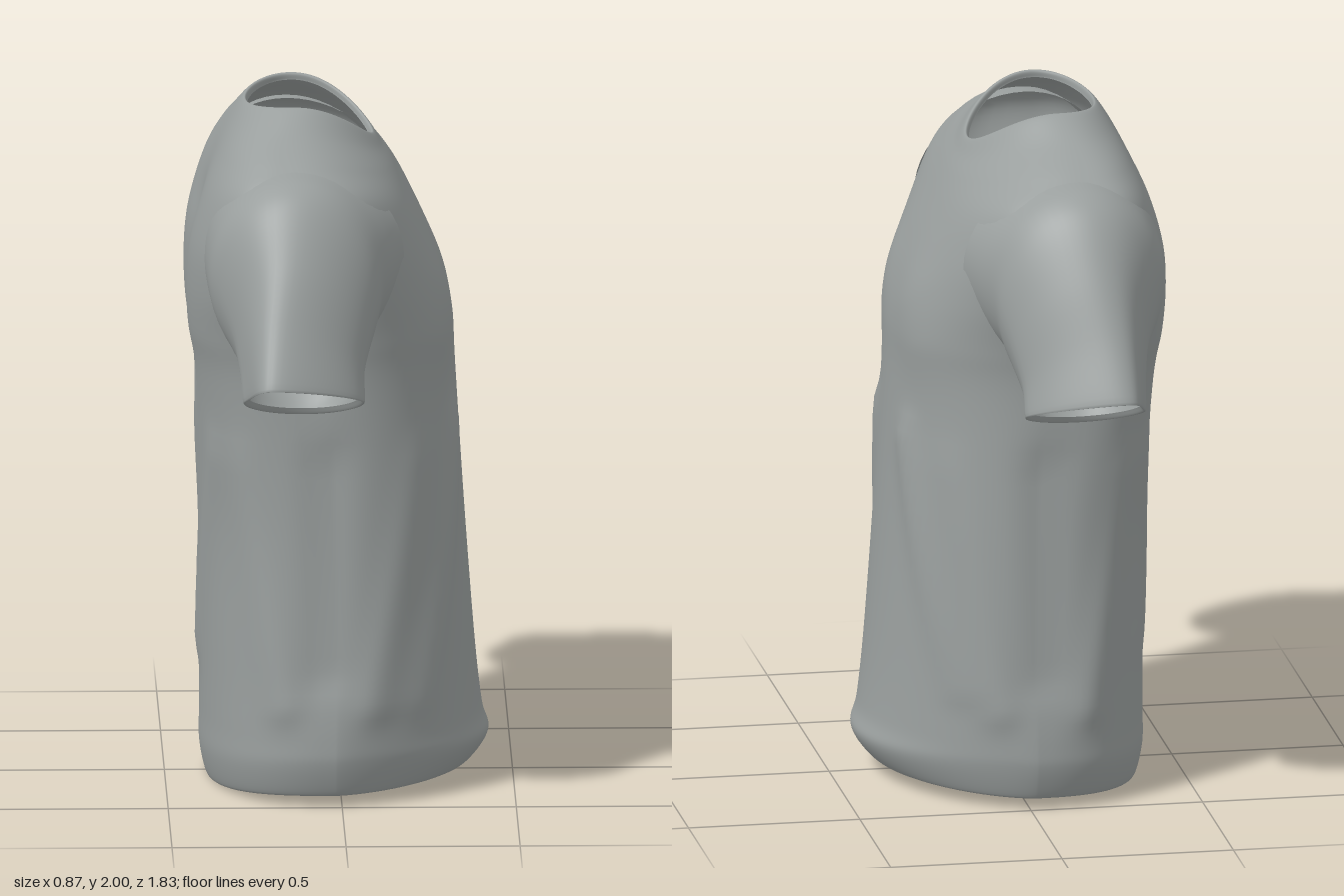
import * as THREE from 'three';

const fabric = new THREE.MeshStandardMaterial({ color: 0x9a9f9e, side: THREE.DoubleSide });
fabric.name = 'grey fabric';

// Smooth curve through four values, between b and c
function blend(a, b, c, d, t) {
  const cubic = 3 * (b - c) + d - a;
  const square = 2 * a - 5 * b + 4 * c - d;
  return b + 0.5 * t * (c - a + t * (square + t * cubic));
}

// Smoothly resample rows of section parameters
function resample(rows, steps) {
  const out = [];
  const n = rows.length - 1;
  for (let i = 0; i < n; i++) {
    const [a, b, c, d] = [rows[Math.max(i - 1, 0)], rows[i], rows[i + 1], rows[Math.min(i + 2, n)]];
    for (let k = 0; k < steps; k++) {
      out.push(b.map((value, j) => blend(a[j], value, c[j], d[j], k / steps)));
    }
  }
  out.push(rows[n]);
  return out;
}

// Skin closed rings, with shared vertices for smooth normals
function loft(name, rows, segments, point) {
  const positions = [];
  const index = [];
  rows.forEach((row, i) => {
    for (let j = 0; j < segments; j++) {
      positions.push(...point(row, (j / segments) * Math.PI * 2));
      if (i === rows.length - 1) continue;
      const a = i * segments + j;
      const b = i * segments + (j + 1) % segments;
      index.push(a, a + segments, b, b, a + segments, b + segments);
    }
  });
  const geometry = new THREE.BufferGeometry();
  geometry.setAttribute('position', new THREE.Float32BufferAttribute(positions, 3));
  geometry.setIndex(index);
  geometry.computeVertexNormals();
  const mesh = new THREE.Mesh(geometry, fabric);
  mesh.name = name;
  return mesh;
}

// Gaussian ridge along a line from (u0, v0) to (u1, v1)
function ridge(u, v, [u0, v0, u1, v1, width, height]) {
  const du = u1 - u0, dv = v1 - v0;
  const along = ((u - u0) * du + (v - v0) * dv) / (du * du + dv * dv);
  const t = Math.min(1, Math.max(0, along));
  const d = Math.hypot(u - u0 - t * du, v - v0 - t * dv) / width;
  return height * Math.exp(-d * d);
}

const sumFolds = (u, v, folds) => folds.reduce((sum, fold) => sum + ridge(u, v, fold), 0);

// Cloth folds: chest and back are pushed along x, sides along z
const chestFolds = [
  [0.16, 1.05, 0.40, 0.3, 0.06, 0.02], [-0.2, 1.05, -0.43, 0.35, 0.05, 0.022],
  [0.26, 1.35, 0.2, 1.45, 0.13, 0.015], [-0.26, 1.35, -0.2, 1.45, 0.13, 0.015],
];
const backFolds = [
  [0, 1.25, 0, 1.65, 0.15, -0.028],
  [0.3, 1.0, 0.05, 0.4, 0.06, 0.012], [-0.3, 1.0, -0.05, 0.4, 0.06, 0.012],
];
const sideFolds = [
  [-0.32, 1.0, -0.18, 0.3, 0.06, 0.02], [0.24, 1.0, 0.1, 0.3, 0.06, 0.02],
  [-0.04, 1.0, -0.04, 0.4, 0.07, -0.016],
];

// Body sections: back x, side x, front x, half width, back y, side y, front y, back and front roundness
const bodyRows = [
  [-0.36, -0.02, 0.35, 0.475, 0.03, 0.06, 0.07, 0.8, 1.3],
  [-0.38, -0.02, 0.375, 0.495, 0.002, 0.035, 0.045, 0.8, 1.35],
  [-0.40, -0.02, 0.43, 0.525, 0.09, 0.12, 0.12, 0.8, 1.45],
  [-0.40, -0.02, 0.412, 0.528, 0.2, 0.2, 0.2, 0.8, 1.35],
  [-0.40, -0.02, 0.39, 0.513, 0.4, 0.4, 0.4, 0.75, 1.2],
  [-0.405, -0.03, 0.36, 0.497, 0.8, 0.8, 0.8, 0.7, 1.05],
  [-0.43, -0.05, 0.335, 0.488, 1.2, 1.2, 1.2, 0.5, 0.95],
  [-0.453, -0.06, 0.325, 0.50, 1.36, 1.36, 1.36, 0.42, 0.85],
  [-0.455, -0.08, 0.295, 0.53, 1.5, 1.5, 1.49, 0.37, 0.75],
  [-0.44, -0.10, 0.25, 0.56, 1.62, 1.65, 1.61, 0.38, 0.7],
  [-0.4, -0.13, 0.20, 0.575, 1.75, 1.80, 1.715, 0.5, 0.75],
  [-0.355, -0.15, 0.16, 0.485, 1.85, 1.88, 1.79, 0.65, 0.9],
  [-0.31, -0.15, 0.127, 0.34, 1.93, 1.945, 1.84, 0.85, 1],
  [-0.272, -0.13, 0.10, 0.232, 1.98, 2.0, 1.88, 0.95, 1],
  [-0.262, -0.13, 0.088, 0.222, 1.96, 1.98, 1.865, 0.95, 1],
];

function bodyPoint([xb, xs, xf, w, yb, ys, yf, eb, ef], angle) {
  const c = Math.cos(angle), s = Math.sin(angle);
  const front = c > 0;
  const x = xs + ((front ? xf : xb) - xs) * Math.abs(c) ** (front ? ef : eb);
  const y = ys + ((front ? yf : yb) - ys) * c * c;
  const z = w * s;
  const push = sumFolds(z, y, front ? chestFolds : backFolds);
  const bulge = sumFolds(x, y, sideFolds);
  return [x + push * c, y, z + bulge * s * Math.abs(s)];
}

// Sleeve sections: top y, top z, bottom y, bottom z, back x, front x, top x, pinch of the upper half
const sleeveRows = [
  [1.885, 0.40, 1.32, 0.40, -0.395, 0.18, -0.14, 0],
  [1.872, 0.50, 1.30, 0.45, -0.39, 0.15, -0.14, 0],
  [1.85, 0.585, 1.27, 0.495, -0.38, 0.12, -0.14, 0],
  [1.79, 0.66, 1.235, 0.53, -0.35, 0.105, -0.15, 0.05],
  [1.65, 0.75, 1.205, 0.555, -0.315, 0.08, -0.16, 0.12],
  [1.48, 0.838, 1.188, 0.572, -0.298, 0.06, -0.185, 0.2],
  [1.33, 0.915, 1.18, 0.585, -0.29, 0.06, -0.2, 0.28],
  [1.335, 0.895, 1.2, 0.595, -0.275, 0.045, -0.2, 0.28],
];

function makeSleeve(name, side) {
  return loft(name, resample(sleeveRows, 6), 56, ([ty, tz, by, bz, xb, xf, xt, pinch], angle) => {
    const c = Math.cos(angle), s = Math.sin(-side * angle);
    const h = (s + 1) / 2;
    const upper = Math.max(s, 0);
    const middle = (xb + xf) / 2;
    const x = middle + c * (1 - pinch * upper) * (xf - xb) / 2 + (xt - middle) * upper ** 2;
    return [x, by + (ty - by) * h, side * (bz + (tz - bz) * h)];
  });
}

export function createModel() {
  const shirt = new THREE.Group();
  shirt.name = 'tShirt';
  shirt.add(
    loft('body', resample(bodyRows, 8), 112, bodyPoint),
    makeSleeve('rightSleeve', 1),
    makeSleeve('leftSleeve', -1),
  );
  return shirt;
}
